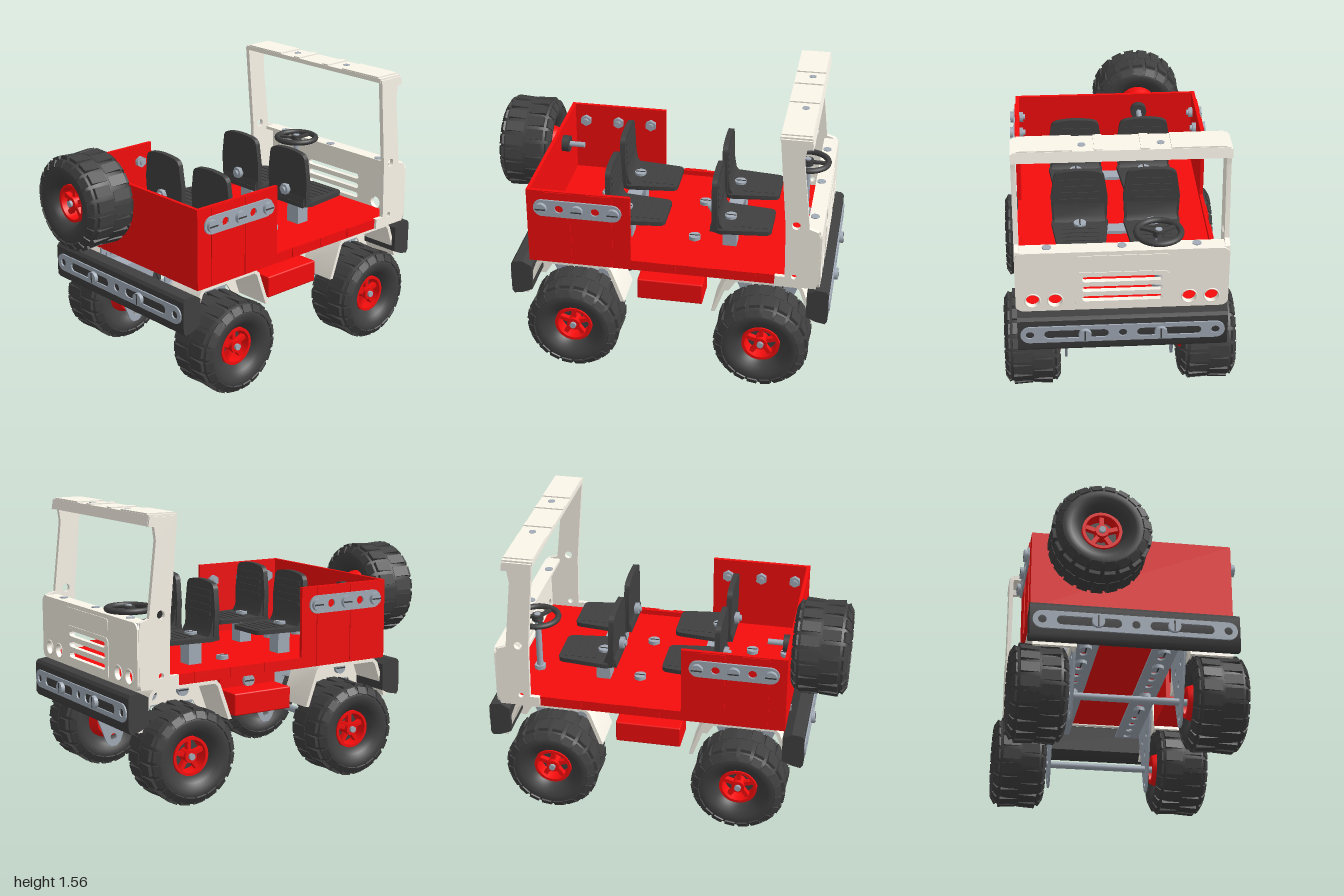
import * as THREE from 'three';
import { mergeGeometries, toCreasedNormals } from 'three/addons/utils/BufferGeometryUtils.js';
import { RoundedBoxGeometry } from 'three/addons/geometries/RoundedBoxGeometry.js';

const mat = (color) => new THREE.MeshStandardMaterial({ color, side: THREE.DoubleSide });
const red = mat(0xf50c0c), cream = mat(0xfbf6ea), dark = mat(0x404040), steel = mat(0xa2acb8);
const UP = new THREE.Vector3(0, 1, 0);

function add(parent, name, geo, material, x = 0, y = 0, z = 0) {
  const m = new THREE.Mesh(geo, material);
  m.name = name;
  m.position.set(x, y, z);
  parent.add(m);
  return m;
}
// Box given by its limits
function box(parent, name, material, x0, x1, y0, y1, z0, z1) {
  return add(parent, name, new THREE.BoxGeometry(x1 - x0, y1 - y0, z1 - z0), material,
    (x0 + x1) / 2, (y0 + y1) / 2, (z0 + z1) / 2);
}
function cyl(parent, name, material, r, h, pos, dir = [0, 1, 0], sides = 20) {
  const m = add(parent, name, new THREE.CylinderGeometry(r, r, h, sides), material, ...pos);
  m.quaternion.setFromUnitVectors(UP, new THREE.Vector3(...dir));
  return m;
}
// Slotted screw head standing on a surface at pos, facing dir
function screw(parent, pos, dir) {
  const g = new THREE.Group();
  g.name = 'screw';
  cyl(g, 'screwHead', steel, 0.034, 0.022, [0, 0.011, 0]);
  box(g, 'screwSlot', dark, -0.03, 0.03, 0.02, 0.0235, -0.004, 0.004);
  g.quaternion.setFromUnitVectors(UP, new THREE.Vector3(...dir));
  g.position.set(...pos);
  parent.add(g);
}
function nut(parent, pos, dir) {
  cyl(parent, 'nut', steel, 0.034, 0.025, pos, dir, 6);
  cyl(parent, 'boltEnd', steel, 0.017, 0.05, pos, dir, 12);
}
const poly = (pts) => new THREE.Shape(pts.map(([x, y]) => new THREE.Vector2(x, y)));
// Stadium outline, also used for round holes and slots
function stadium(x, y, w, h, Type = THREE.Path) {
  const s = new Type(), r = h / 2, d = w / 2 - r;
  s.absarc(x + d, y, r, -Math.PI / 2, Math.PI / 2);
  s.absarc(x - d, y, r, Math.PI / 2, Math.PI * 1.5);
  s.closePath();
  return s;
}
// Rectangle with rounded corners
function roundRect(x0, x1, y0, y1, r) {
  const s = new THREE.Shape();
  s.absarc(x1 - r, y0 + r, r, -Math.PI / 2, 0).absarc(x1 - r, y1 - r, r, 0, Math.PI / 2);
  s.absarc(x0 + r, y1 - r, r, Math.PI / 2, Math.PI).absarc(x0 + r, y0 + r, r, Math.PI, Math.PI * 1.5);
  s.closePath();
  return s;
}
function extrude(shape, depth, holes = []) {
  shape.holes.push(...holes.map((h) => stadium(...h)));
  return toCreasedNormals(new THREE.ExtrudeGeometry(shape, { depth, bevelEnabled: false, curveSegments: 10 }), 0.6);
}

// Wheel with its axle along z and the outer side at +z
function makeWheel() {
  const g = new THREE.Group();
  g.name = 'wheel';
  const side = [[0.06, 0.105], [0.1, 0.113], [0.128, 0.138], [0.146, 0.172], [0.148, 0.2], [0.141, 0.225], [0.122, 0.244], [0.07, 0.254], [0, 0.257]];
  const profile = [...side, ...side.slice(0, -1).reverse().map(([a, r]) => [-a, r])];
  const tyre = new THREE.LatheGeometry(profile.map(([a, r]) => new THREE.Vector2(r, a)), 48);
  add(g, 'tyre', tyre.rotateX(Math.PI / 2), dark);
  const lugs = [], n = 20;
  for (let i = 0; i < n; i++) for (const s of [-1, 1]) {
    const a = ((i + (s > 0 ? 0.5 : 0)) / n) * Math.PI * 2;
    const tread = new THREE.BoxGeometry(0.02, 0.058, 0.1).rotateY(s * 0.06).translate(0.2515, 0, s * 0.056);
    const shoulder = new THREE.BoxGeometry(0.042, 0.056, 0.016).rotateY(s * 0.55).translate(0.228, 0, s * 0.134);
    lugs.push(tread.rotateZ(a), shoulder.rotateZ(a));
  }
  add(g, 'treadLugs', mergeGeometries(lugs), dark);
  const rim = [[-0.155, 0.06], [-0.155, 0.085], [-0.1, 0.106], [0.1, 0.106], [0.1, 0.09], [0.02, 0.085], [0.02, 0.02]];
  add(g, 'rim', toCreasedNormals(new THREE.LatheGeometry(rim.map(([a, r]) => new THREE.Vector2(r, a)), 36).rotateX(Math.PI / 2), 0.5), red);
  cyl(g, 'rimRecess', dark, 0.084, 0.01, [0, 0, 0.024], [0, 0, 1], 30);
  for (let i = 0; i < 5; i++) {
    const a = Math.PI / 2 + (i * Math.PI * 2) / 5;
    add(g, 'spoke', new THREE.BoxGeometry(0.075, 0.024, 0.03).translate(0.05, 0, 0.065).rotateZ(a), red);
  }
  cyl(g, 'hub', red, 0.036, 0.07, [0, 0, 0.065], [0, 0, 1]);
  cyl(g, 'axleEnd', steel, 0.018, 0.03, [0, 0, 0.1], [0, 0, 1], 14);
  return g;
}

// Seat with its rear edge at x = 0
function makeSeat() {
  const g = new THREE.Group();
  g.name = 'seat';
  const base = new THREE.Shape();
  base.moveTo(0, -0.13).lineTo(0.06, -0.157).lineTo(0.31, -0.13);
  base.quadraticCurveTo(0.335, -0.125, 0.34, -0.1).lineTo(0.34, 0.1);
  base.quadraticCurveTo(0.335, 0.125, 0.31, 0.13).lineTo(0.06, 0.157).lineTo(0, 0.13);
  add(g, 'seatPan', extrude(base, 0.025).rotateX(-Math.PI / 2), dark, 0, 0.815, 0);
  const back = new THREE.Shape();
  back.moveTo(-0.15, 0).lineTo(-0.157, 0.15).lineTo(-0.14, 0.27).quadraticCurveTo(-0.135, 0.305, -0.09, 0.31);
  back.quadraticCurveTo(0, 0.325, 0.09, 0.31).quadraticCurveTo(0.135, 0.305, 0.14, 0.27).lineTo(0.157, 0.15).lineTo(0.15, 0);
  const b = add(g, 'seatBack', extrude(back, 0.03).rotateY(Math.PI / 2), dark, 0.014, 0.825, 0);
  b.rotation.z = 0.02;
  for (let i = 0; i < 5; i++) {
    box(g, 'seatRib', dark, 0.13 + i * 0.04, 0.15 + i * 0.04, 0.836, 0.844, -0.1, 0.1);
    box(b, 'backRib', dark, 0.026, 0.034, 0.085 + i * 0.04, 0.105 + i * 0.04, -0.11, 0.11);
  }
  // Thickened corner between pan and back
  const corner = poly([[0, 0.815], [0.075, 0.84], [0.055, 0.87], [0.044, 0.94], [0.005, 0.86]]);
  add(g, 'seatCorner', extrude(corner, 0.28), dark, 0, 0, -0.14);
  screw(g, [0.1, 0.832, 0], [0, 1, 0]);
  nut(g, [-0.005, 0.9, 0], [1, 0, 0]);
  // Mounting post below the pan
  box(g, 'seatPost', steel, 0.06, 0.14, 0.677, 0.815, -0.045, 0.045);
  return g;
}

function makeBumper(dir) {
  const g = new THREE.Group();
  g.name = dir > 0 ? 'frontBumper' : 'rearBumper';
  const section = poly([[0, 0.46], [0.055, 0.435], [0.105, 0.425], [0.118, 0.445], [0.118, 0.615], [0.105, 0.632], [0.05, 0.638], [0, 0.61]]);
  add(g, 'bumperBar', extrude(section, 1.11), dark, 0, 0, -0.555);
  const strip = extrude(stadium(0, 0, 1.08, 0.1, THREE.Shape), 0.01,
    [[-0.49, 0, 0.044, 0.044], [-0.245, 0, 0.34, 0.05], [0, 0, 0.044, 0.044], [0.245, 0, 0.34, 0.05], [0.49, 0, 0.044, 0.044]]);
  add(g, 'bumperStrip', strip.rotateY(Math.PI / 2), steel, 0.116, 0.532, 0);
  for (const z of [-0.2, 0.2]) screw(g, [0.124, 0.532, z], [1, 0, 0]);
  g.position.x = dir > 0 ? 0.855 : -0.685;
  if (dir < 0) g.rotation.y = Math.PI;
  return g;
}

export function createModel() {
  const car = new THREE.Group();
  car.name = 'offRoadCar';
  const axles = [-0.45, 0.615];

  // Red tub: floor, rear walls and planked sides
  const tub = new THREE.Group();
  tub.name = 'tub';
  car.add(tub);
  box(tub, 'floor', red, -0.695, 0.895, 0.652, 0.677, -0.54, 0.54);
  box(tub, 'rearWall', red, -0.695, -0.675, 0.65, 1.1, -0.545, 0.545);
  for (const s of [-1, 1]) {
    box(tub, 'sill', red, -0.695, 0.675, 0.65, 0.708, s * 0.535 - 0.01, s * 0.535 + 0.01);
    box(tub, 'sideWall', red, -0.695, -0.12, 0.65, 1.1, s * 0.535 - 0.01, s * 0.535 + 0.01);
    for (const [x0, x1] of [[-0.6, -0.45], [-0.36, -0.22]])
      box(tub, 'sidePlank', red, x0, x1, 0.655, 1.095, s * 0.545 - 0.005, s * 0.545 + 0.005);
    for (const x of [0, 0.22, 0.44]) box(tub, 'sillPlank', red, x, x + 0.13, 0.655, 0.71, s * 0.545 - 0.005, s * 0.545 + 0.005);
    const strip = extrude(stadium(0, 0, 0.49, 0.1, THREE.Shape), 0.01, [[-0.1, 0, 0.046, 0.046], [0.1, 0, 0.046, 0.046]]);
    add(tub, 'sideStrip', strip, steel, -0.41, 1, s > 0 ? 0.55 : -0.56);
    for (const x of [-0.61, -0.41, -0.21]) {
      screw(tub, [x, 1, s * 0.558], [0, 0, s]);
      nut(tub, [x, 1, s * 0.515], [0, 0, 1]);
    }
  }
  for (const [x, z] of [[-0.61, 0.2], [-0.41, 0.2], [-0.41, -0.2], [0.18, 0.2], [0.18, -0.2]]) screw(tub, [x, 0.677, z], [0, 1, 0]);

  // Cream cowl and windscreen frame
  const cowl = new THREE.Group();
  cowl.name = 'windscreenFrame';
  car.add(cowl);
  const cheek = [[0.675, 0.65], [0.9, 0.65], [0.91, 0.69], [0.91, 0.965], [0.9, 1.003], [0.85, 1.02], [0.805, 1.42], [0.815, 1.49], [0.848, 1.49],
    [0.84, 1.54], [0.678, 1.54], [0.723, 1.02], [0.73, 0.71], [0.675, 0.71]];
  for (const s of [-1, 1])
    add(cowl, 'sideFrame', extrude(poly(cheek), 0.025, [[0.78, 1.035, 0.046, 0.046], [0.78, 0.715, 0.03, 0.03]]), cream, 0, 0, s > 0 ? 0.535 : -0.56);
  const header = poly([[0.675, 1.55], [0.675, 1.525], [0.815, 1.525], [0.82, 1.493], [0.85, 1.493], [0.84, 1.55]]);
  add(cowl, 'headerBar', extrude(header, 1.1), cream, 0, 0, -0.55);
  const holes = [-0.47, -0.352, 0.352, 0.47].map((z) => [z, 0.71, 0.072, 0.072]);
  for (const y of [0.715, 0.775, 0.835]) holes.push([0, y, 0.42, 0.032]);
  add(cowl, 'nosePanel', extrude(roundRect(-0.558, 0.558, 0.645, 1.003, 0.04), 0.025, holes).rotateY(Math.PI / 2), cream, 0.895, 0, 0);
  add(cowl, 'grilleSurround', extrude(poly([[-0.245, 0.66], [0.245, 0.66], [0.245, 0.86], [0.225, 0.878], [-0.225, 0.878], [-0.245, 0.86]]), 0.006,
    holes.slice(4)).rotateY(Math.PI / 2), cream, 0.918, 0, 0);
  add(cowl, 'nosePad', extrude(roundRect(-0.245, 0.245, 0.905, 0.98, 0.02), 0.006).rotateY(Math.PI / 2), cream, 0.918, 0, 0);
  for (const h of holes.slice(0, 4)) add(cowl, 'headlightRing', new THREE.TorusGeometry(0.04, 0.004, 8, 28).rotateY(Math.PI / 2), cream, 0.92, h[1], h[0]);
  box(cowl, 'noseLedge', cream, 0.835, 0.91, 0.985, 1.003, -0.55, 0.55);
  for (const z of [-0.39, 0, 0.39]) cyl(cowl, 'ledgeBoss', steel, 0.024, 0.006, [0.865, 1.004, z]);
  for (const s of [-1, 1]) {
    for (const [z0, z1] of [[0.25, 0.53], [0.095, 0.14]])
      box(cowl, 'headerPad', cream, 0.677, 0.838, 1.545, 1.557, Math.min(s * z0, s * z1), Math.max(s * z0, s * z1));
    cyl(cowl, 'headerBoss', steel, 0.02, 0.005, [0.77, 1.55, s * 0.2]);
  }

  // Steering
  const steering = new THREE.Group();
  steering.name = 'steering';
  car.add(steering);
  steering.position.set(0.77, 0, -0.2);
  add(steering, 'steeringWheel', new THREE.TorusGeometry(0.118, 0.017, 10, 36).rotateX(Math.PI / 2), dark, 0, 1.018, 0);
  for (let i = 0; i < 3; i++)
    add(steering, 'wheelSpoke', new THREE.BoxGeometry(0.11, 0.014, 0.024).translate(0.06, 0, 0).rotateY((i * Math.PI * 2) / 3), dark, 0, 1.015, 0);
  cyl(steering, 'wheelHub', dark, 0.032, 0.035, [0, 1.015, 0]);
  cyl(steering, 'column', steel, 0.018, 0.365, [0, 0.855, 0]);
  nut(steering, [0, 0.69, 0], [0, 1, 0]);

  // Seats and the plate linking each pair
  for (const x of [-0.31, 0.285]) {
    for (const z of [-0.2, 0.2]) {
      const seat = makeSeat();
      seat.position.set(x, 0, z);
      car.add(seat);
    }
    box(car, 'seatMount', steel, x + 0.06, x + 0.14, 0.795, 0.814, -0.22, 0.22);
  }

  // Chassis rails with perforated lower flanges
  const chassis = new THREE.Group();
  chassis.name = 'chassis';
  car.add(chassis);
  const spaced = (n, pitch) => [...Array(n)].map((_, i) => [-0.65 + i * pitch, 0, 0.042, 0.042]);
  for (const s of [-1, 1]) {
    const web = poly([[-0.7, -0.048], [0.86, -0.048], [0.86, 0.048], [-0.7, 0.048]]);
    add(chassis, 'railWeb', extrude(web, 0.012, spaced(8, 0.204)), steel, 0, 0.605, s * 0.28 - 0.006);
    const flange = poly([[-0.7, -0.07], [0.86, -0.07], [0.86, 0.07], [-0.7, 0.07]]);
    add(chassis, 'railFlange', extrude(flange, 0.012, spaced(16, 0.098)).rotateX(-Math.PI / 2), steel, 0, 0.558, s * 0.216);
    for (const x of [-0.45, -0.25, 0.16, 0.37]) screw(chassis, [x, 0.56, s * 0.216], [0, -1, 0]);
    // Side box hung from a tab on the rail
    add(chassis, 'sideBox', new RoundedBoxGeometry(0.37, 0.125, 0.18, 2, 0.008), red, 0.083, 0.473, s * 0.375);
    add(chassis, 'sideBoxTab', new RoundedBoxGeometry(0.37, 0.195, 0.025, 2, 0.005), red, 0.083, 0.508, s * 0.298);
    screw(chassis, [0.083, 0.565, s * 0.31], [0, 0, s]);
  }

  // Axles, hangers, fenders and wheels
  for (const x of axles) {
    cyl(chassis, 'axle', steel, 0.02, 0.9, [x, 0.265, 0], [0, 0, 1]);
    for (const s of [-1, 1]) {
      const hanger = poly([[-0.2, 0.63], [-0.2, 0.55], [-0.045, 0.15], [-0.02, 0.125], [0.02, 0.125], [0.045, 0.15], [0.2, 0.55], [0.2, 0.63]]);
      const hangerHoles = [[0, 0.18, 0.04, 0.04], [0, 0.37, 0.04, 0.04], [-0.07, 0.47, 0.04, 0.04], [0.07, 0.47, 0.04, 0.04]];
      add(chassis, 'axleHanger', extrude(hanger, 0.012, hangerHoles), steel, x, 0, s * 0.295 - 0.006);
      const fender = new THREE.Group();
      fender.name = 'fender';
      const outline = [[-0.287, 0.42], [-0.215, 0.62], [-0.19, 0.645], [0.19, 0.645], [0.215, 0.62], [0.287, 0.42]];
      const inner = [[0.265, 0.42], [0.197, 0.61], [0.18, 0.627], [-0.18, 0.627], [-0.197, 0.61], [-0.265, 0.42]];
      add(fender, 'fenderArch', extrude(poly([...outline, ...inner]), 0.23), cream, 0, 0, 0.3);
      const plate = poly([...outline, [0.22, 0.42], [0.17, 0.5], [-0.17, 0.5], [-0.22, 0.42]]);
      add(fender, 'fenderPlate', extrude(plate, 0.012), cream, 0, 0, 0.302);
      for (const dx of [-0.1, 0.1]) screw(fender, [dx, 0.565, 0.314], [0, 0, 1]);
      fender.position.x = x;
      const wheel = makeWheel();
      wheel.position.set(x, 0.265, s * 0.48);
      if (s < 0) fender.rotation.y = wheel.rotation.y = Math.PI;
      car.add(fender, wheel);
    }
  }

  car.add(makeBumper(1), makeBumper(-1));

  // Spare wheel and its clamp
  const spare = makeWheel();
  spare.name = 'spareWheel';
  spare.position.set(-0.848, 1, -0.2);
  spare.rotation.y = -Math.PI / 2;
  car.add(spare);
  cyl(car, 'spareKnob', dark, 0.048, 0.045, [-0.655, 1, -0.2], [1, 0, 0]);
  cyl(car, 'spareShaft', steel, 0.016, 0.35, [-0.72, 1, -0.2], [1, 0, 0], 14);
  return car;
}
